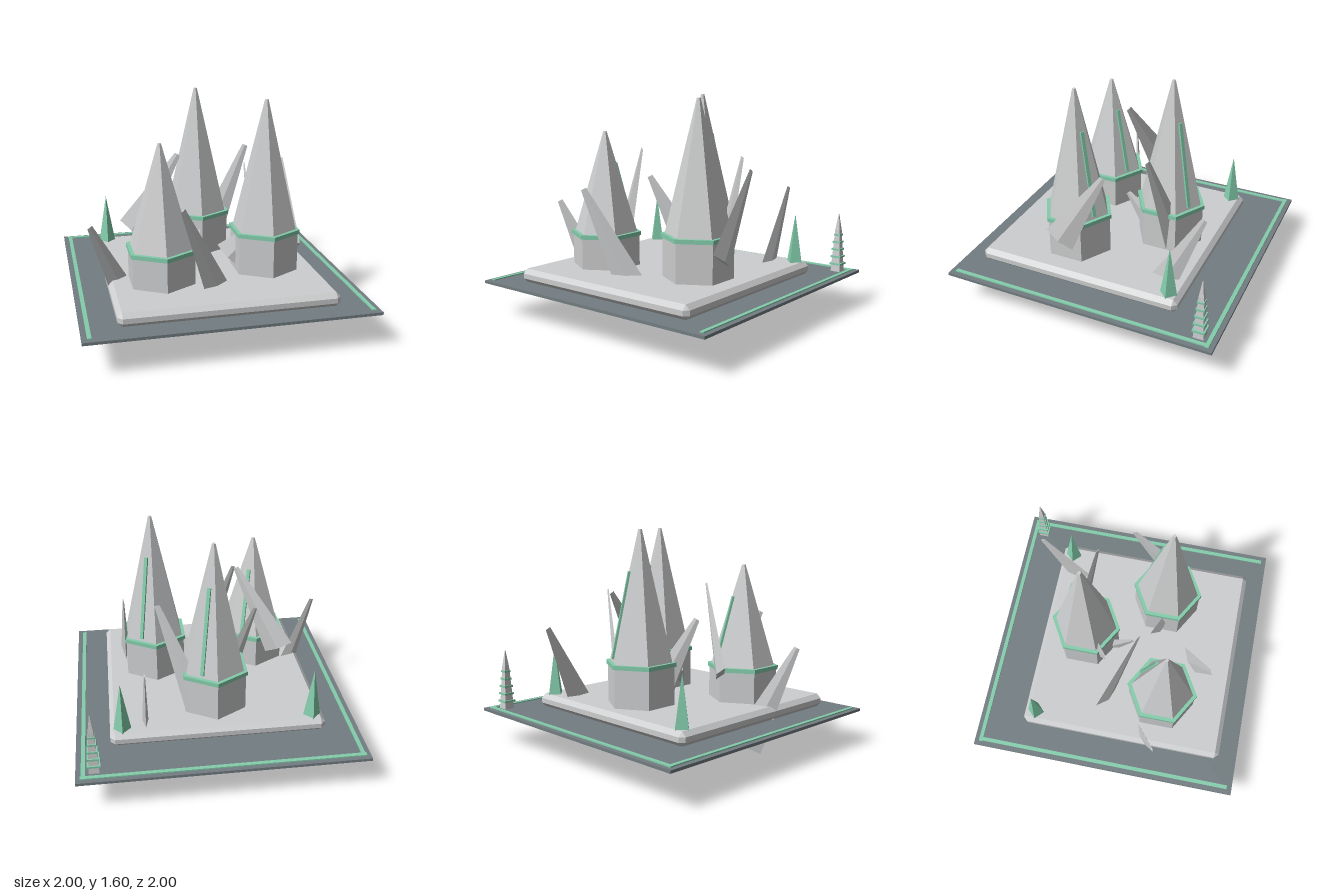
import * as THREE from 'three';
import { ConvexGeometry } from 'three/addons/geometries/ConvexGeometry.js';

const makeMaterial = (name, color) => {
  const m = new THREE.MeshStandardMaterial({ color, flatShading: true });
  m.name = name;
  return m;
};

export function createModel() {
  const stone = makeMaterial('paleStone', 0xcdcecf);
  const slate = makeMaterial('darkSlate', 0x737d81);
  const green = makeMaterial('mintGreen', 0x84cdac);
  const model = new THREE.Group();
  model.name = 'crystalSpires';

  const add = (parent, name, geometry, material, x = 0, y = 0, z = 0) => {
    const mesh = new THREE.Mesh(geometry, material);
    mesh.name = name;
    mesh.position.set(x, y, z);
    parent.add(mesh);
    return mesh;
  };
  // Upright prism or frustum from y0 to y1
  const frustum = (parent, name, material, sides, r0, r1, y0, y1, turn = 0) => {
    const mesh = add(parent, name, new THREE.CylinderGeometry(r1, r0, y1 - y0, sides), material, 0, (y0 + y1) / 2);
    mesh.rotation.y = turn;
    return mesh;
  };
  const group = (name, x, z) => {
    const g = new THREE.Group();
    g.name = name;
    g.position.set(x, 0, z);
    model.add(g);
    return g;
  };

  // Ground slab with border stripes on three sides
  add(model, 'groundSlab', new THREE.BoxGeometry(2, 0.02, 2), slate, 0, 0.26, 0);
  add(model, 'backStripe', new THREE.BoxGeometry(1.94, 0.009, 0.028), green, 0, 0.2745, -0.953);
  for (const s of [-1, 1]) {
    add(model, 'sideStripe', new THREE.BoxGeometry(0.028, 0.008, 1.93), green, s * 0.95, 0.274, -0.003);
  }

  // Chamfered platform
  const half = [0.76, 0.05, 0.76], bevel = 0.032;
  const corners = [];
  for (const sx of [-1, 1]) for (const sy of [-1, 1]) for (const sz of [-1, 1]) {
    for (let axis = 0; axis < 3; axis++) {
      const [x, y, z] = half.map((h, i) => (i === axis ? h : h - bevel));
      corners.push(new THREE.Vector3(sx * x, sy * y, sz * z));
    }
  }
  add(model, 'platform', new ConvexGeometry(corners), stone, 0, 0.318, 0.1);

  // Hexagonal towers: column, band, spire and a glowing strip on one spire face
  const faceOut = new THREE.Vector3(0.5, 0, -Math.sqrt(3) / 2);
  const towers = [[0, -0.31, 0.66, 1.61], [0.385, 0.25, 0.66, 1.6], [-0.39, 0.35, 0.605, 1.35]];
  for (const [x, z, base, top] of towers) {
    const tower = group('tower', x, z);
    frustum(tower, 'column', stone, 6, 0.25, 0.25, 0.36, base);
    frustum(tower, 'band', green, 6, 0.262, 0.262, base - 0.015, base + 0.015);
    frustum(tower, 'spire', stone, 6, 0.237, 0.013, base, top);
    const onFace = (t) => faceOut.clone()
      .multiplyScalar(THREE.MathUtils.lerp(0.237, 0.013, t) * 0.866 + 0.006)
      .setY(THREE.MathUtils.lerp(base, top, t));
    const a = onFace(0.04), b = onFace(0.69);
    const up = b.clone().sub(a).normalize();
    const side = new THREE.Vector3().crossVectors(up, faceOut).normalize();
    const out = new THREE.Vector3().crossVectors(side, up);
    const strip = add(tower, 'spireStrip', new THREE.BoxGeometry(0.025, a.distanceTo(b), 0.02), green);
    strip.quaternion.setFromRotationMatrix(new THREE.Matrix4().makeBasis(side, up, out));
    strip.position.copy(a).add(b).multiplyScalar(0.5);
  }

  // Leaning shards: flattened diamond section, wide along the lean [tip, base centre]
  const shards = [
    [[-0.875, 0.795, 0.355], [-0.57, 0.058, 0.19]],
    [[-0.295, 0.97, 0.67], [0.02, 0.218, 0.485]],
    [[0.61, 1.1, -0.06], [0.613, 0.52, 0.29]],
    [[0.51, 0.9, -0.745], [0.508, 0.157, -0.39]],
    [[-0.225, 1.215, 0.13], [-0.53, 0.62, -0.05]],
    [[0.385, 1.16, -0.285], [0.08, 0.25, -0.435]],
    [[-0.335, 0.985, -0.085], [-0.02, 0.31, -0.26]],
    [[-0.05, 0.605, 0.055], [-0.045, 0.32, -0.2]],
    [[0.38, 0.78, 0.38], [0.13, 0.455, 0.225]],
  ];
  for (const [tip, base] of shards) {
    const a = new THREE.Vector3(...base), b = new THREE.Vector3(...tip);
    const up = b.clone().sub(a).normalize();
    const flat = new THREE.Vector3().crossVectors(up, new THREE.Vector3(0, 1, 0)).normalize();
    const wide = new THREE.Vector3().crossVectors(up, flat);
    const geometry = new THREE.CylinderGeometry(0.021, 0.118, a.distanceTo(b), 4).scale(1, 1, 0.24);
    const shard = add(model, 'shard', geometry, stone);
    shard.quaternion.setFromRotationMatrix(new THREE.Matrix4().makeBasis(wide, up, flat));
    shard.position.copy(a).add(b).multiplyScalar(0.5);
  }

  // Green crystals on the back corners of the platform
  for (const s of [-1, 1]) {
    add(model, 'cornerCrystal', new THREE.ConeGeometry(0.063, 0.37, 4), green, s * 0.673, 0.545, -0.573);
  }

  // Small ringed beacon in the back corner of the slab
  const beacon = group('beacon', 0.876, -0.876);
  const square = (name, material, h0, h1, y0, y1) =>
    frustum(beacon, name, material, 4, h0 * Math.SQRT2, h1 * Math.SQRT2, y0, y1, Math.PI / 4);
  square('beaconBody', stone, 0.037, 0.018, 0.27, 0.59);
  square('beaconSpire', stone, 0.018, 0.002, 0.59, 0.71);
  for (let i = 0; i < 5; i++) {
    const y = 0.328 + i * 0.056, h = 0.045 - i * 0.005;
    square('beaconRing', green, h, h, y - 0.007, y + 0.007);
  }
  return model;
}
